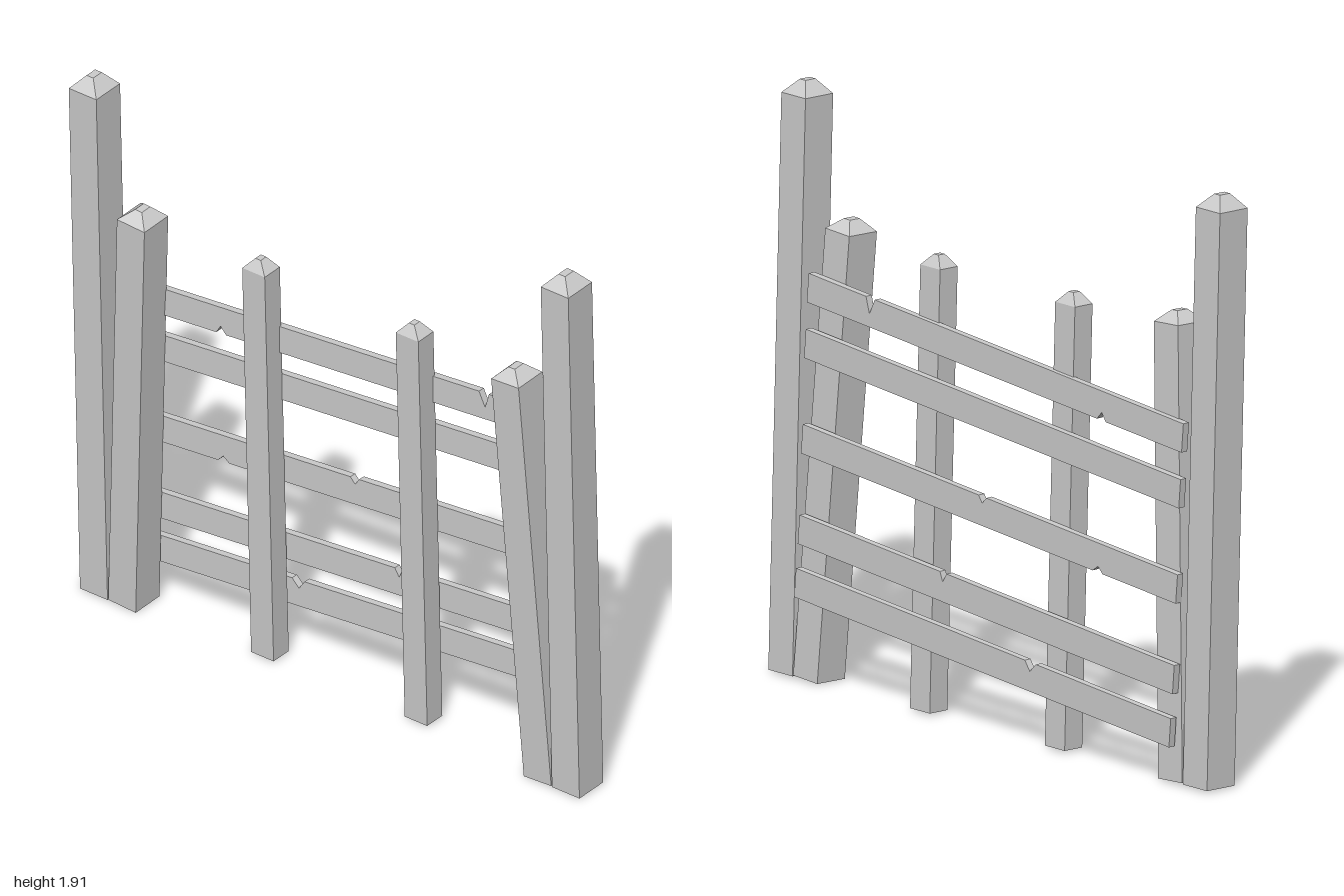
import * as THREE from 'three';

const material = new THREE.MeshStandardMaterial({ color: 0xcccccc, flatShading: true });

// Square post standing on its origin, with a blunt pyramid cap
function makePost(name, w, d, shoulder, capHeight) {
  const geo = new THREE.BoxGeometry(w, 2, d, 1, 2, 1);
  const pos = geo.attributes.position;
  for (let i = 0; i < pos.count; i++) {
    const y = pos.getY(i);
    if (y > 0.5) {
      pos.setXYZ(i, pos.getX(i) * 0.24, shoulder + capHeight, pos.getZ(i) * 0.36);
    } else {
      pos.setY(i, y < -0.5 ? 0 : shoulder);
    }
  }
  const flat = geo.toNonIndexed();
  flat.computeVertexNormals();
  const mesh = new THREE.Mesh(flat, material);
  mesh.name = name;
  return mesh;
}

// Plank along x with V-shaped nicks: [x, width, depth]
function makeRail(name, length, height, thickness, topNicks, bottomNicks) {
  const l = length / 2, h = height / 2;
  const shape = new THREE.Shape();
  shape.moveTo(-l, -h);
  for (const [x, w, d] of bottomNicks) {
    shape.lineTo(x - w / 2, -h);
    shape.lineTo(x, -h + d);
    shape.lineTo(x + w / 2, -h);
  }
  shape.lineTo(l, -h);
  shape.lineTo(l, h);
  for (const [x, w, d] of topNicks) {
    shape.lineTo(x + w / 2, h);
    shape.lineTo(x, h - d);
    shape.lineTo(x - w / 2, h);
  }
  shape.lineTo(-l, h);
  shape.closePath();
  const geo = new THREE.ExtrudeGeometry(shape, { depth: thickness, bevelEnabled: false });
  const mesh = new THREE.Mesh(geo, material);
  mesh.name = name;
  return mesh;
}

export function createModel() {
  const group = new THREE.Group();
  group.name = 'fence';

  // Tall outer posts and shorter braces leaning inward
  for (const side of [-1, 1]) {
    const label = side > 0 ? 'left' : 'right';
    const post = makePost(label + 'OuterPost', 0.11, 0.118, 1.855, 0.045);
    post.position.set(side * 0.945, 0.004, -0.016);
    post.rotation.x = 0.03;
    group.add(post);

    const brace = makePost(label + 'LeaningPost', 0.11, 0.118, 1.453, 0.037);
    brace.position.set(side * 0.832, 0.004, -0.016);
    brace.rotation.set(0.041, 0, side * 0.057);
    group.add(brace);
  }

  // Slim middle pickets
  [-0.3, 0.315].forEach((x, i) => {
    const picket = makePost(i ? 'leftPicket' : 'rightPicket', 0.09, 0.075, 1.425, 0.037);
    picket.position.set(x, 0.005, -0.032);
    picket.rotation.x = 0.031;
    group.add(picket);
  });

  // Slanted rails behind the posts: centre height, back z, top nicks, bottom nicks
  const rails = [
    [1.188, -0.048, [[0.575, 0.04, 0.052]], [[-0.49, 0.04, 0.026]]],
    [1.01, -0.06, [], []],
    [0.705, -0.073, [[0.035, 0.035, 0.022]], [[-0.5, 0.045, 0.02]]],
    [0.415, -0.087, [[0.2, 0.03, 0.03]], []],
    [0.246, -0.102, [[-0.215, 0.05, 0.03]], []],
  ];
  rails.forEach(([y, z, top, bottom], i) => {
    const rail = makeRail('rail' + (i + 1), 1.715, 0.095, 0.024, top, bottom);
    rail.position.set(-0.005, y, z);
    rail.rotation.z = 0.088;
    group.add(rail);
  });

  return group;
}
